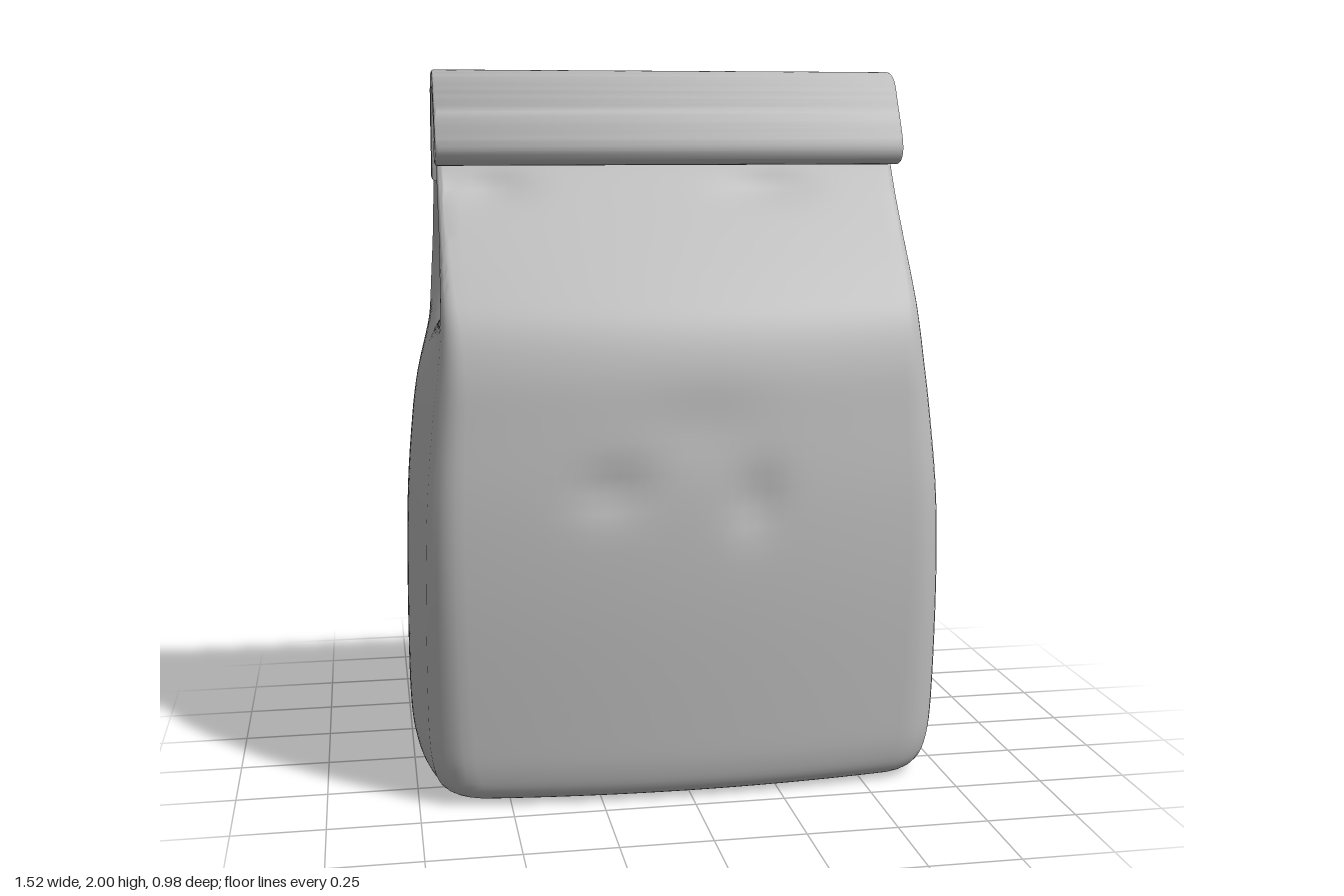
import * as THREE from 'three';
import { toCreasedNormals } from 'three/addons/utils/BufferGeometryUtils.js';

// Bag cross-sections from the base up:
// y, half width, front z, back z, corner radius, gusset depth
const LEVELS = [
  [0.00, 0.66, 0.39, -0.39, 0.11, 0],
  [0.025, 0.715, 0.445, -0.44, 0.12, 0],
  [0.09, 0.745, 0.47, -0.465, 0.12, 0],
  [0.22, 0.758, 0.48, -0.478, 0.12, 0],
  [0.55, 0.758, 0.492, -0.492, 0.11, 0],
  [0.82, 0.75, 0.485, -0.482, 0.10, 0],
  [1.05, 0.73, 0.462, -0.455, 0.09, 0],
  [1.20, 0.71, 0.44, -0.428, 0.07, 0.01],
  [1.32, 0.698, 0.398, -0.388, 0.05, 0.06],
  [1.42, 0.688, 0.327, -0.325, 0.035, 0.16],
  [1.53, 0.677, 0.24, -0.247, 0.025, 0.26],
  [1.65, 0.668, 0.145, -0.165, 0.02, 0.34],
  [1.74, 0.662, 0.085, -0.116, 0.015, 0.39],
  [1.82, 0.656, 0.052, -0.098, 0.012, 0.40],
  [1.93, 0.652, 0.025, -0.075, 0.01, 0.40],
];

// Shallow creases pressed into the large panels: x, y, radius x, radius y, depth
const FRONT_DENTS = [
  [-0.22, 0.88, 0.10, 0.06, 0.02], [0.17, 0.84, 0.07, 0.08, 0.02],
  [-0.5, 1.67, 0.09, 0.04, 0.015], [0.28, 1.67, 0.12, 0.04, 0.015],
  [0.02, 1.05, 0.16, 0.10, 0.008],
];
const BACK_DENTS = [[0.1, 1.1, 0.12, 0.08, 0.010], [-0.15, 0.95, 0.09, 0.10, 0.012]];

const dent = (list, x, y) => list.reduce((sum, [cx, cy, rx, ry, d]) =>
  sum + d * Math.exp(-(((x - cx) / rx) ** 2) - ((y - cy) / ry) ** 2), 0);

// One closed outline, counter-clockwise seen from above
function ring([y, hx, zf, zb, r, g]) {
  const pts = [];
  const mid = (zf + zb) / 2, hz = (zf - zb) / 2;
  const bowZ = 0.08 * hz, bowX = 0.035 * Math.min(1, hz / 0.4);
  const ex = hx - bowX - r, ez = hz - bowZ - r;
  const N = 36, S = 24, C = 6;
  const panel = (sign) => {
    for (let i = 0; i < N; i++) {
      const u = -1 + (2 * i) / N, x = sign * u * ex;
      const dents = dent(sign > 0 ? FRONT_DENTS : BACK_DENTS, x, y);
      pts.push([x, y, mid + sign * (hz - bowZ * u * u - dents)]);
    }
  };
  const corner = (sx, sz, start) => {
    for (let i = 0; i < C; i++) {
      const a = start - (i / C) * Math.PI / 2;
      pts.push([sx * ex + r * Math.cos(a), y, mid + sz * ez + r * Math.sin(a)]);
    }
  };
  const side = (sign) => {
    for (let i = 0; i < S; i++) {
      const s = 1 - (2 * i) / S;
      const fold = g * (1 - Math.abs(s) ** 1.2);
      pts.push([sign * (hx - bowX * s * s - fold), y, mid + sign * s * ez]);
    }
  };
  panel(1);
  corner(1, 1, Math.PI / 2);
  side(1);
  corner(1, -1, 0);
  panel(-1);
  corner(-1, -1, -Math.PI / 2);
  side(-1);
  corner(-1, 1, Math.PI);
  return pts;
}

// Loft smoothly interpolated outlines into a closed sack
function bagGeometry() {
  const last = LEVELS.length - 1, steps = 5;
  const spline = new THREE.CubicInterpolant(LEVELS.map((_, i) => i), LEVELS.flat(), 6, new Array(6));
  const rows = [];
  for (let i = 0; i <= last * steps; i++) {
    const level = Array.from(spline.evaluate(i / steps));
    level[0] = Math.max(0, level[0]);
    level[5] = Math.max(0, level[5]);
    rows.push(ring(level));
  }
  const n = rows[0].length, pos = rows.flat(2), index = [];
  for (let i = 0; i < rows.length - 1; i++) {
    for (let j = 0; j < n; j++) {
      const k = (j + 1) % n, a = i * n + j, b = i * n + k;
      index.push(a, b, b + n, a, b + n, a + n);
    }
  }
  const base = pos.length / 3, top = base + 1, t0 = (rows.length - 1) * n;
  pos.push(0, 0, 0, 0, LEVELS[last][0], (LEVELS[last][2] + LEVELS[last][3]) / 2);
  for (let j = 0; j < n; j++) {
    const k = (j + 1) % n;
    index.push(base, k, j, top, t0 + j, t0 + k);
  }
  const geo = new THREE.BufferGeometry();
  geo.setAttribute('position', new THREE.Float32BufferAttribute(pos, 3));
  geo.setIndex(index);
  return toCreasedNormals(geo, 0.7);
}

// Rolled closure: a thick strip following a hook in the z-y plane
function foldGeometry() {
  const path = new THREE.SplineCurve([
    [-0.088, 1.70], [-0.082, 1.80], [-0.076, 1.90], [-0.045, 1.958], [0.005, 1.972],
    [0.052, 1.955], [0.085, 1.90], [0.138, 1.80], [0.138, 1.768], [0.11, 1.763], [0.088, 1.79],
  ].map(([z, y]) => new THREE.Vector2(z, y)));
  const half = 0.018, bevel = 0.008, outer = [], inner = [];
  for (let i = 0; i <= 60; i++) {
    const p = path.getPoint(i / 60), t = path.getTangent(i / 60);
    const normal = new THREE.Vector2(-t.y, t.x).multiplyScalar(half);
    outer.push(p.clone().add(normal));
    inner.unshift(p.clone().sub(normal));
  }
  const width = 1.305;
  const geo = new THREE.ExtrudeGeometry(new THREE.Shape([...outer, ...inner]), {
    depth: width, steps: 1, bevelThickness: bevel, bevelSize: bevel, bevelSegments: 3,
  });
  geo.translate(0, 0, -width / 2).rotateY(-Math.PI / 2);
  return toCreasedNormals(geo, 0.8);
}

export function createModel() {
  const paper = new THREE.MeshStandardMaterial({ color: 0xbcbcbc });
  paper.name = 'grey paper';
  paper.side = THREE.DoubleSide;

  const group = new THREE.Group();
  group.name = 'paperBag';
  const add = (name, geo) => {
    const mesh = new THREE.Mesh(geo, paper);
    mesh.name = name;
    group.add(mesh);
  };
  add('bagBody', bagGeometry());
  add('rolledTop', foldGeometry());
  return group;
}
